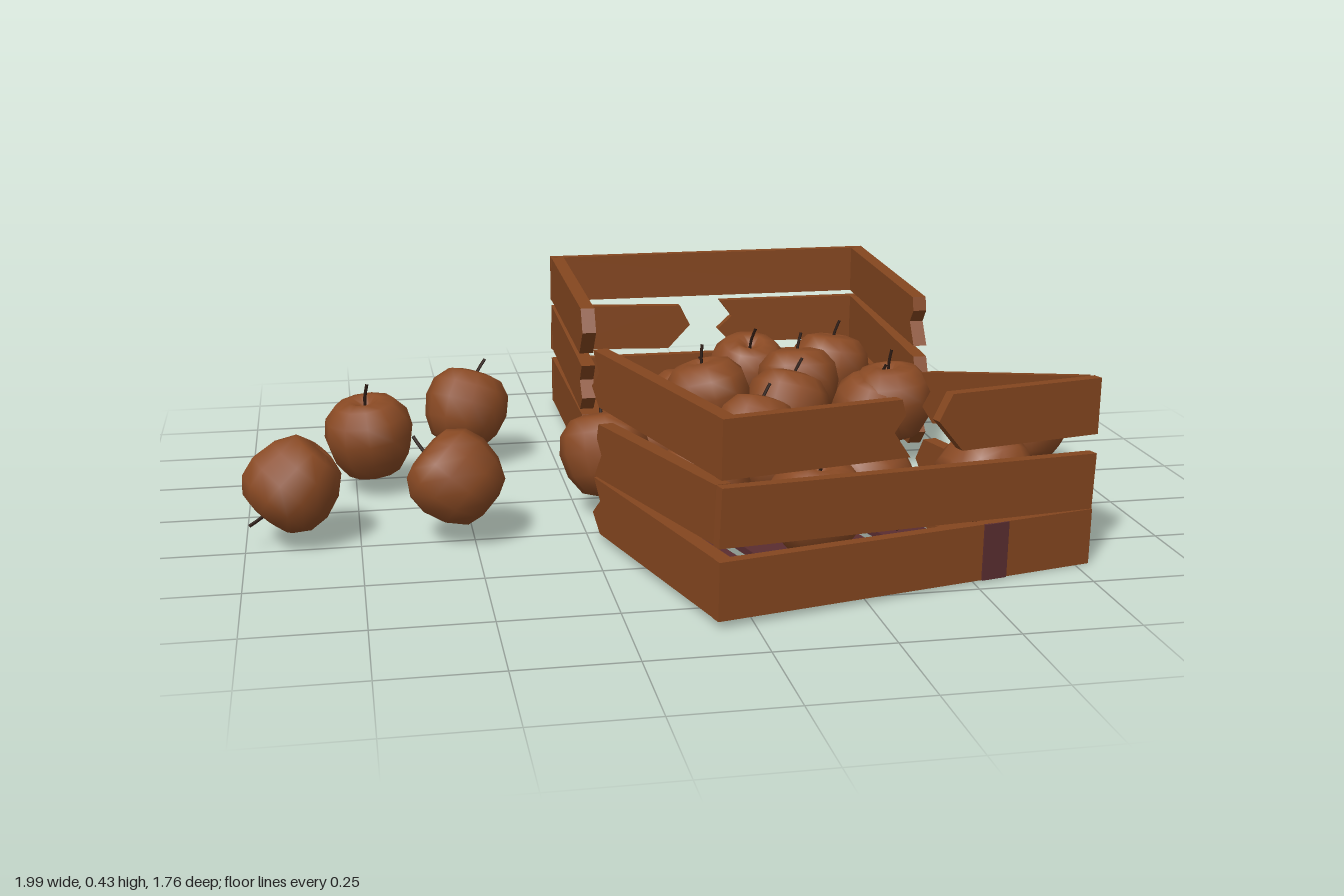
import * as THREE from 'three';

const mat = (name, color, side = THREE.FrontSide) => {
  const m = new THREE.MeshStandardMaterial({ color, side });
  m.name = name;
  return m;
};

export function createModel() {
  const wood = mat('wood', 0x84461f);
  const darkWood = mat('dark wood', 0x5a2d30);
  const skin = mat('apple skin', 0x8a4a24);
  const stemMat = mat('stem', 0x2c1a12);
  const model = new THREE.Group();
  model.name = 'brokenAppleCrate';

  // Plank running along +x from the origin, with an optional splintered end
  function plank(length, height, thick, jag = 0, tilt = 0) {
    const h = height / 2, L = length;
    const ends = [
      [[L, -h], [L, h]],
      [[L - 0.04, -h], [L, -h * 0.35], [L - 0.04, h * 0.25], [L - 0.005, h]],
      [[L - 0.005, -h], [L - 0.045, -h * 0.1], [L - 0.02, h * 0.45], [L - 0.03, h]],
      [[L - 0.06, -h], [L, h * 0.1], [L - 0.03, h]],
    ];
    const shape = new THREE.Shape([[0, -h], ...ends[jag], [0, h]].map(([x, y]) => new THREE.Vector2(x, y)));
    const geo = new THREE.ExtrudeGeometry(shape, { depth: thick, bevelEnabled: false });
    return geo.translate(0, 0, -thick / 2).rotateZ(tilt);
  }

  function add(parent, name, geo, material, x, y, z) {
    const mesh = new THREE.Mesh(geo, material);
    mesh.name = name;
    mesh.position.set(x, y, z);
    parent.add(mesh);
    return mesh;
  }

  // Half of a crate: end wall with its outer face on z = 0, sides and floor running to -z
  const W = 0.89, tiers = [0.082, 0.232, 0.37];
  function halfCrate(name, { wall, sides, slats }) {
    const g = new THREE.Group();
    g.name = name;
    // End wall: [tier, start, length, jag, tilt], negative length runs to -x
    for (const [tier, start, len, jag, tilt] of wall) {
      const geo = plank(Math.abs(len), 0.122, 0.025, jag, tilt);
      if (len < 0) geo.rotateY(Math.PI);
      add(g, 'endBoard', geo, wood, start, tiers[tier], -0.0125);
    }
    // Side walls: [side, tier, length, jag, tilt]
    for (const [side, tier, len, jag, tilt] of sides) {
      const geo = plank(len, 0.122, 0.034, jag, tilt).rotateY(Math.PI / 2);
      add(g, 'sideBoard', geo, wood, side * (W / 2 - 0.018), tiers[tier], -0.025);
    }
    // Floor slats: [x, length, jag, material]
    for (const [x, len, jag, material] of slats) {
      const geo = plank(len, 0.115, 0.016, jag).rotateX(-Math.PI / 2).rotateY(Math.PI / 2);
      add(g, 'floorSlat', geo, material, x, 0.03, -0.015);
    }
    model.add(g);
    return g;
  }

  const back = halfCrate('backCrateHalf', {
    wall: [[0, -W / 2, W, 0, 0], [2, -W / 2, W, 0, 0],
      [1, -W / 2, 0.42, 1, 0], [1, W / 2, -0.39, 3, -0.03]],
    sides: [[-1, 0, 0.62, 1, 0], [-1, 1, 0.63, 3, -0.06], [-1, 2, 0.61, 2, -0.04],
      [1, 0, 0.62, 2, 0], [1, 1, 0.6, 1, -0.04], [1, 2, 0.62, 3, -0.03]],
    slats: [[0.31, 0.655, 3, wood], [0.162, 0.55, 1, darkWood], [0.005, 0.55, 2, darkWood],
      [-0.15, 0.57, 3, darkWood], [-0.308, 0.6, 1, darkWood]],
  });
  back.position.set(0.257, 0, -0.888);
  back.rotation.y = Math.PI;

  const front = halfCrate('frontCrateHalf', {
    wall: [[0, -W / 2, W, 0, 0], [1, -W / 2, W, 0, -0.03],
      [2, -W / 2, 0.43, 2, 0], [2, W / 2, -0.4, 3, 0]],
    sides: [[-1, 0, 0.6, 1, 0], [-1, 1, 0.6, 2, -0.04], [-1, 2, 0.61, 1, 0],
      [1, 0, 0.61, 3, 0], [1, 2, 0.61, 1, -0.21]],
    slats: [[-0.31, 0.575, 1, darkWood], [-0.155, 0.68, 3, darkWood], [0.005, 0.46, 1, darkWood],
      [0.165, 0.62, 2, darkWood], [0.31, 0.61, 1, wood]],
  });
  // Dark patch on the lowest front board
  add(front, 'boardPatch', new THREE.BoxGeometry(0.06, 0.122, 0.006), darkWood, 0.2, 0.082, 0.001);
  front.position.set(0.352, -0.002, 0.757);
  front.rotation.set(0, 0.262, -0.018, 'YXZ');

  // Apple: low-sided lathe with a dimple at both ends
  const profile = [[0, -0.078], [0.03, -0.094], [0.066, -0.082], [0.094, -0.04], [0.106, 0.012],
    [0.098, 0.056], [0.07, 0.088], [0.038, 0.096], [0.014, 0.082], [0, 0.068]];
  const appleGeo = new THREE.LatheGeometry(profile.map(([x, y]) => new THREE.Vector2(x, y)), 11);
  const stemGeo = new THREE.TubeGeometry(new THREE.CatmullRomCurve3([
    new THREE.Vector3(0, 0.065, 0), new THREE.Vector3(0.002, 0.1, 0), new THREE.Vector3(0.012, 0.135, 0),
  ]), 4, 0.004, 5);

  // Each apple: centre, then the direction its stem points
  const apples = [
    [-0.47, 0.15, -0.35, 0.35, 1, -0.35], [-0.715, 0.145, -0.155, -0.1, 1, 0.1],
    [-0.89, 0.155, 0.21, -0.7, -0.75, 0.1], [-0.535, 0.155, 0.25, -0.6, 0.5, -0.2],
    [0.885, 0.125, -0.035, -1, 0.05, 0.4], [0.29, 0.17, -0.51, 0, 1, 0.3],
    [0.51, 0.17, -0.5, 0.15, 1, -0.15], [0.38, 0.18, -0.32, 0, 1, -0.2],
    [0.065, 0.16, -0.21, 0.2, 1, -0.1], [-0.025, 0.14, -0.025, -0.2, 1, 0.3],
    [0.105, 0.21, -0.12, -0.2, 1, -0.1], [0.195, 0.14, -0.01, 0.3, 1, -0.4],
    [0.31, 0.16, -0.165, 0.3, 1, -0.3], [0.535, 0.14, -0.17, 0.1, 1, 0.2],
    [0.582, 0.165, -0.17, -0.1, 1, 0], [-0.185, 0.155, 0.12, -0.1, 1, -0.3],
    [0.2, 0.155, 0.21, 1, 0.3, -0.2], [-0.02, 0.18, 0.45, -0.4, 1, -0.35],
    [0.325, 0.18, 0.48, 0.4, -0.6, 0.3], [0.18, 0.17, 0.63, 0.05, 1, 0.1],
    [0.57, 0.19, 0.545, 1, 0.15, -0.25],
  ];
  const up = new THREE.Vector3(0, 1, 0);
  for (const [x, y, z, dx, dy, dz] of apples) {
    const apple = new THREE.Group();
    apple.name = 'apple';
    add(apple, 'appleBody', appleGeo, skin, 0, 0, 0);
    add(apple, 'appleStem', stemGeo, stemMat, 0, 0, 0);
    apple.position.set(x, y, z);
    apple.quaternion.setFromUnitVectors(up, new THREE.Vector3(dx, dy, dz).normalize());
    model.add(apple);
  }
  return model;
}
